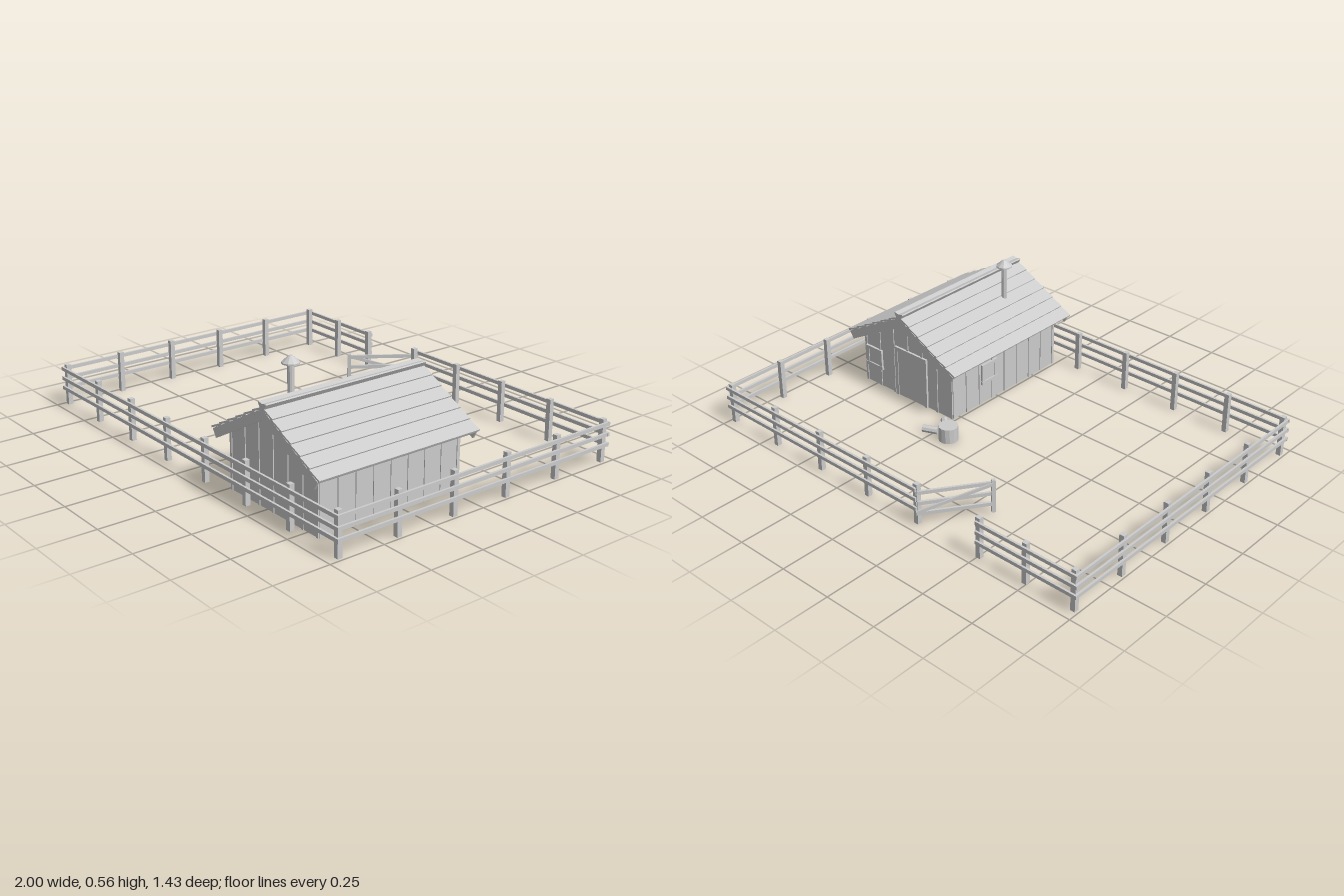
import * as THREE from 'three';

const mat = new THREE.MeshStandardMaterial({ color: 0xcccccc, flatShading: true });

function add(parent, name, geometry, x = 0, y = 0, z = 0) {
  const mesh = new THREE.Mesh(geometry, mat);
  mesh.name = name;
  mesh.position.set(x, y, z);
  parent.add(mesh);
  return mesh;
}
const box = (parent, name, w, h, d, x, y, z) => add(parent, name, new THREE.BoxGeometry(w, h, d), x, y, z);

function group(parent, name, x = 0, y = 0, z = 0) {
  const g = new THREE.Group();
  g.name = name;
  g.position.set(x, y, z);
  parent.add(g);
  return g;
}

const CX = 0.54, CZ = 0.308;         // cabin centre
const HALF_W = 0.277, HALF_L = 0.348; // cabin half sizes
const EAVE = 0.272, APEX = 0.423;
const SLOPE = (APEX - EAVE) / HALF_W;

// Frame of four boards around an opening, facing +z
function frame(parent, name, w, h, t, withSill) {
  for (const s of [-1, 1]) box(parent, name, t, h, 0.012, s * (w - t) / 2, 0, 0.004);
  box(parent, name, w, t, 0.014, 0, (h - t) / 2, 0.004);
  if (withSill) box(parent, name, w + 0.008, t, 0.016, 0, -(h - t) / 2, 0.004);
}

function addWindow(parent, x, y, z, turn) {
  const g = group(parent, 'window', x, y, z);
  g.rotation.y = turn;
  box(g, 'windowPane', 0.085, 0.085, 0.01, 0, 0, 0.001);
  frame(g, 'windowFrame', 0.1, 0.1, 0.016, true);
}

function buildWalls(parent) {
  const walls = group(parent, 'walls', CX, 0, CZ);
  const outline = new THREE.Shape([
    new THREE.Vector2(-HALF_W, 0), new THREE.Vector2(HALF_W, 0), new THREE.Vector2(HALF_W, EAVE),
    new THREE.Vector2(0, APEX), new THREE.Vector2(-HALF_W, EAVE)]);
  add(walls, 'wallBody', new THREE.ExtrudeGeometry(outline, { depth: HALF_L * 2, bevelEnabled: false }), 0, 0, -HALF_L);

  // Battens over the gable and side walls
  for (let i = -3; i <= 3; i++) {
    const x = i * 0.0905, h = APEX - Math.abs(x) * SLOPE - 0.005;
    for (const s of [-1, 1]) box(walls, 'gableBatten', 0.012, h, 0.008, x, h / 2, s * HALF_L);
  }
  for (let i = -4; i <= 4; i++)
    for (const s of [-1, 1]) box(walls, 'sideBatten', 0.008, EAVE, 0.012, s * HALF_W, EAVE / 2, i * 0.085);

  // Back door with frame and two windows
  const door = group(walls, 'door', -0.025, 0.125, -HALF_L);
  door.rotation.y = Math.PI;
  box(door, 'doorPanel', 0.17, 0.24, 0.014, 0, -0.003, 0);
  frame(door, 'doorFrame', 0.2, 0.25, 0.018, false);
  addWindow(walls, 0.215, 0.14, -HALF_L, Math.PI);
  addWindow(walls, -HALF_W, 0.15, -0.11, -Math.PI / 2);
}

function buildRoof(parent) {
  const roof = group(parent, 'roof', CX, 0.436, CZ);
  const rows = 6, run = 0.376, pitch = run / rows, length = 0.79;
  for (const s of [0, 1]) {
    const turn = group(roof, 'roofSide');
    turn.rotation.y = s * Math.PI;
    const side = group(turn, 'roofSlope');
    side.rotation.z = -Math.atan(SLOPE);
    box(side, 'roofDeck', run, 0.01, length, run / 2, -0.008, 0);
    // Lapped planks, each lifted at its lower edge
    for (let i = 0; i < rows; i++) {
      const plank = box(side, 'roofPlank', pitch + 0.012, 0.008, length, (i + 0.5) * pitch, 0.002, 0);
      plank.rotation.z = 0.09;
    }
    // Boards under the roof at both gable ends
    for (const e of [-1, 1]) box(side, 'bargeBoard', run, 0.032, 0.009, run / 2, -0.027, e * 0.39);
  }
  // Ridge cap, wider at the top
  const cap = new THREE.Shape([
    new THREE.Vector2(-0.012, -0.006), new THREE.Vector2(0.012, -0.006), new THREE.Vector2(0.025, 0.016),
    new THREE.Vector2(0.022, 0.021), new THREE.Vector2(0, 0.015), new THREE.Vector2(-0.022, 0.021),
    new THREE.Vector2(-0.025, 0.016)]);
  add(roof, 'ridgeCap', new THREE.ExtrudeGeometry(cap, { depth: length, bevelEnabled: false }), 0, 0, -length / 2);
}

function buildChimney(parent) {
  const g = group(parent, 'chimney', 0.415, 0, 0.475);
  add(g, 'stovePipe', new THREE.CylinderGeometry(0.014, 0.014, 0.18, 10), 0, 0.44, 0);
  add(g, 'pipeCapRim', new THREE.CylinderGeometry(0.037, 0.037, 0.006, 10), 0, 0.53, 0);
  add(g, 'pipeCap', new THREE.CylinderGeometry(0.008, 0.037, 0.026, 10), 0, 0.546, 0);
}

function buildFence(parent) {
  const fence = group(parent, 'fence');
  const post = (x, z) => box(fence, 'fencePost', 0.022, 0.19, 0.022, x, 0.095, z);
  const RAILS = [0.077, 0.122, 0.168];
  const railX = (x0, x1, z) => RAILS.forEach(y => box(fence, 'fenceRail', x1 - x0, 0.016, 0.01, (x0 + x1) / 2, y, z));

  // Front and back runs, with an opening in the back
  for (let i = 0; i < 8; i++) post(-0.978 + i * 0.2794, 0.696);
  for (const x of [-0.978, -0.742, -0.507, -0.172, 0.115, 0.401, 0.688, 0.978]) post(x, -0.696);
  railX(-1, 1, 0.711);
  railX(-1, -0.5, -0.711);
  railX(-0.18, 1, -0.711);

  // Side runs
  for (const s of [-1, 1]) {
    for (const z of [-0.418, -0.139, 0.139, 0.418]) post(s * 0.98, z);
    RAILS.forEach(y => box(fence, 'fenceRail', 0.01, 0.016, 1.425, s * 0.994, y, 0));
  }
}

function buildGate(parent) {
  // Open gate, swung inward from its hinge post
  const gate = group(parent, 'gate', -0.175, 0, -0.708);
  gate.rotation.y = Math.atan2(-0.258, -0.18);
  const L = 0.315;
  for (const y of [0.05, 0.1, 0.15]) box(gate, 'gateRail', L, 0.016, 0.01, L / 2, y, 0);
  box(gate, 'gateEndPost', 0.016, 0.155, 0.016, L, 0.088, 0);
  const brace = box(gate, 'gateBrace', Math.hypot(L, 0.09), 0.014, 0.008, L / 2, 0.105, 0.008);
  brace.rotation.z = Math.atan2(0.09, L);
}

function buildWoodpile(parent) {
  const pile = group(parent, 'woodpile');
  add(pile, 'choppingBlock', new THREE.CylinderGeometry(0.044, 0.044, 0.07, 14), 0.165, 0.035, -0.17);
  for (const [x, z, turn] of [[0.261, -0.185, 0.42], [0.245, -0.108, -0.69]]) {
    const log = group(pile, 'logPiece', x, 0.016, z);
    log.rotation.y = turn;
    add(log, 'log', new THREE.CylinderGeometry(0.017, 0.017, 0.07, 8)).rotation.z = Math.PI / 2;
  }
}

export function createModel() {
  const model = new THREE.Group();
  model.name = 'fencedCabin';
  const cabin = group(model, 'cabin');
  buildWalls(cabin);
  buildRoof(cabin);
  buildChimney(cabin);
  buildFence(model);
  buildGate(model);
  buildWoodpile(model);
  return model;
}
